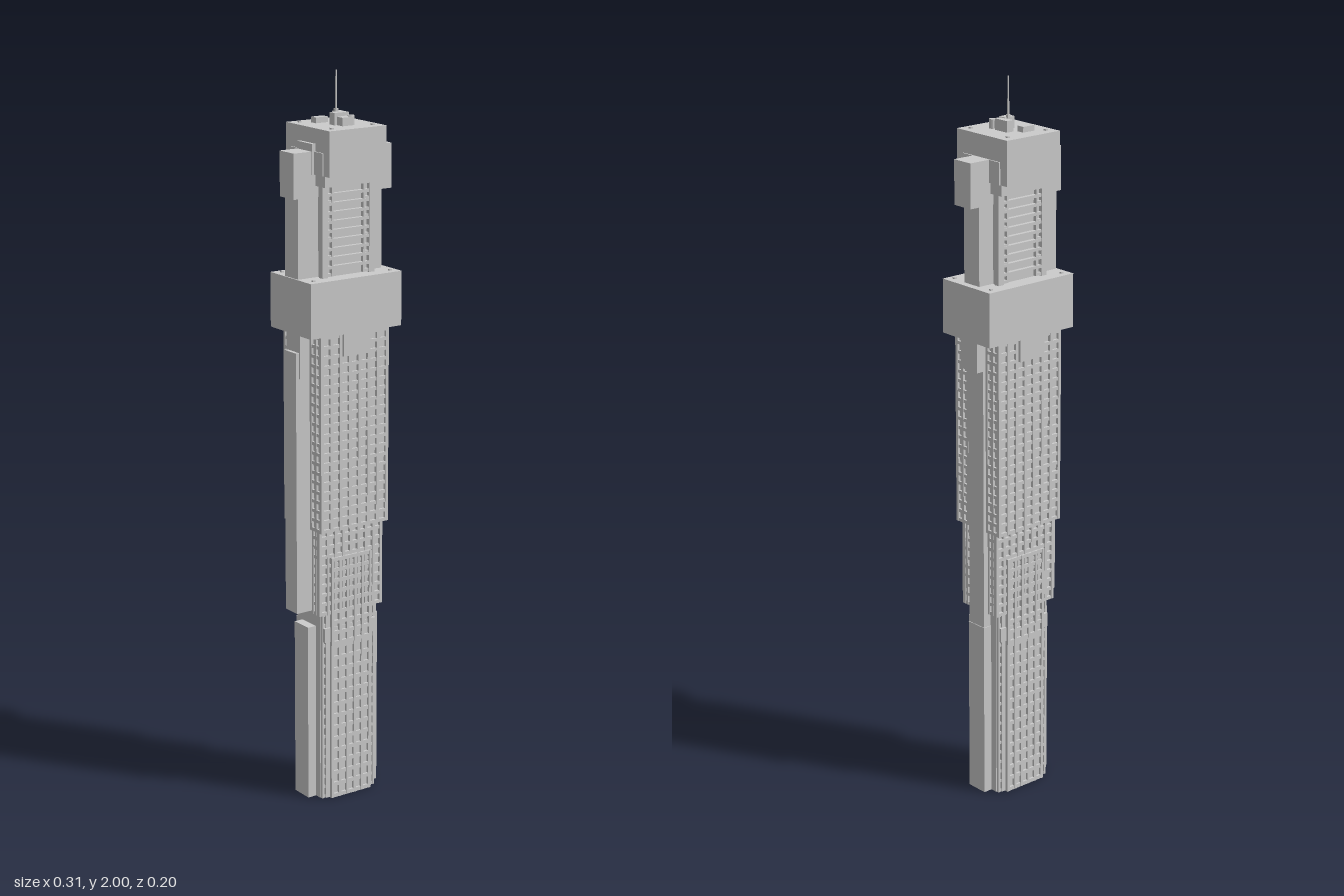
import * as THREE from 'three';
import { mergeGeometries } from 'three/addons/utils/BufferGeometryUtils.js';

const material = new THREE.MeshStandardMaterial({ color: 0xcccccc, flatShading: true });

export function createModel() {
  const tower = new THREE.Group();
  tower.name = 'skyscraper';

  const add = (name, geometry) => {
    const mesh = new THREE.Mesh(geometry, material);
    mesh.name = name;
    tower.add(mesh);
    return mesh;
  };
  // Box given by its limits on each axis
  const boxGeo = (x0, x1, y0, y1, z0, z1) =>
    new THREE.BoxGeometry(x1 - x0, y1 - y0, z1 - z0)
      .translate((x0 + x1) / 2, (y0 + y1) / 2, (z0 + z1) / 2);
  const box = (name, ...limits) => add(name, boxGeo(...limits));
  // Box centred on the tower axis
  const block = (name, hx, y0, y1, hz) => box(name, -hx, hx, y0, y1, -hz, hz);

  // Lattice of posts and floor bands from u0 to u1, standing out to distance d.
  // turn 0 faces +z, 1 faces +x, 2 faces -z, 3 faces -x.
  function lattice(name, turn, u0, u1, y0, y1, d, cols, rows, depth, post, band) {
    const bars = [];
    for (let i = 0; i <= cols; i++) {
      const u = u0 + post / 2 + (u1 - u0 - post) * i / cols;
      bars.push(boxGeo(u - post / 2, u + post / 2, y0, y1, d - depth, d));
    }
    for (let j = 0; j <= rows; j++) {
      const y = y0 + band / 2 + (y1 - y0 - band) * j / rows;
      bars.push(boxGeo(u0, u1, y - band / 2, y + band / 2, d - depth, d - 0.001));
    }
    add(name, mergeGeometries(bars)).rotation.y = turn * Math.PI / 2;
  }
  const frontAndBack = [0, 2], sides = [1, 3];

  // Lower shaft
  block('lowerCore', 0.09, 0, 0.55, 0.052);
  block('lowerShaft', 0.077, 0, 0.55, 0.062);
  block('lowerSpine', 0.116, 0, 0.5, 0.032);
  block('lowerCollar', 0.085, 0.46, 0.5, 0.068);
  block('windowBay', 0.062, 0, 0.7, 0.066);
  for (const t of frontAndBack) {
    lattice('lowerWindows', t, -0.066, 0.066, 0, 0.45, 0.073, 5, 13, 0.009, 0.008, 0.011);
    lattice('upperBayWindows', t, -0.066, 0.066, 0.45, 0.7, 0.075, 5, 8, 0.011, 0.008, 0.01);
    for (const s of [-1, 1]) {
      const a = s * 0.068, b = s * 0.088;
      lattice('cornerWindows', t, Math.min(a, b), Math.max(a, b), 0, 0.54, 0.06, 1, 18, 0.012, 0.006, 0.008);
    }
  }

  // Setback stage with open corner windows
  block('setbackCore', 0.098, 0.54, 0.79, 0.062);
  for (const t of frontAndBack)
    lattice('setbackWindows', t, -0.104, 0.104, 0.54, 0.79, 0.071, 8, 9, 0.012, 0.008, 0.009);
  for (const t of sides) for (const s of [-1, 1])
    lattice('setbackSideWindows', t, Math.min(s * 0.035, s * 0.07), Math.max(s * 0.035, s * 0.07),
      0.54, 0.79, 0.104, 2, 9, 0.008, 0.007, 0.009);

  // Main shaft
  block('mainCore', 0.103, 0.785, 1.33, 0.08);
  for (const t of frontAndBack)
    lattice('mainWindows', t, -0.11, 0.11, 0.78, 1.32, 0.088, 7, 20, 0.009, 0.009, 0.009);
  for (const t of sides) for (const s of [-1, 1])
    lattice('mainSideWindows', t, Math.min(s * 0.035, s * 0.087), Math.max(s * 0.035, s * 0.087),
      0.78, 1.32, 0.11, 2, 20, 0.008, 0.008, 0.009);

  // Side spines: the right-hand one is deeper
  box('leftSpine', 0.08, 0.114, 0.49, 1.33, -0.03, 0.03);
  box('rightSpine', -0.148, -0.08, 0.545, 1.27, -0.027, 0.027);

  // Overhanging middle block with tabs hanging below it
  block('middleBlock', 0.146, 1.32, 1.468, 0.094);
  block('frontAndBackTab', 0.04, 1.26, 1.33, 0.094);
  box('leftTab', 0.09, 0.136, 1.235, 1.33, -0.032, 0.032);
  box('rightTab', -0.138, -0.09, 1.2, 1.33, -0.032, 0.032);

  // Upper shaft with projecting floor slabs between corner piers
  block('upperCore', 0.078, 1.46, 1.75, 0.046);
  for (const sx of [-1, 1]) for (const sz of [-1, 1]) {
    const pier = block('cornerPier', 0.009, 1.46, 1.72, 0.008);
    pier.position.set(sx * 0.075, 0, sz * 0.05);
  }
  for (let i = 0; i < 10; i++) {
    const y = 1.49 + i * 0.024;
    block('floorSlab', 0.068, y, y + 0.008, 0.057);
  }
  for (const t of frontAndBack) for (const s of [-1, 1])
    lattice('upperWindows', t, s * 0.06 - 0.012, s * 0.06 + 0.012, 1.47, 1.72, 0.056, 1, 5, 0.012, 0.005, 0.008);

  // Lift towers on both sides of the upper shaft
  box('leftLiftTower', 0.07, 0.126, 1.46, 1.7, -0.03, 0.03);
  box('rightLiftTower', -0.142, -0.07, 1.46, 1.7, -0.03, 0.03);
  block('liftTowerHead', 0.156, 1.68, 1.8, 0.032);
  box('rightHeadStep', -0.1, -0.085, 1.74, 1.82, -0.035, 0.035);
  block('sideRib', 0.094, 1.74, 1.8, 0.072);

  // Crown
  block('crownStep', 0.088, 1.71, 1.745, 0.075);
  block('crownBlock', 0.09, 1.74, 1.86, 0.099);

  // Roof hatches
  const hatch = (x, y, z) => block('roofHatch', 0.004, 0, 0.004, 0.004).position.set(x, y, z);
  for (const sx of [-1, 1]) for (const sz of [-1, 1]) {
    hatch(sx * 0.065, 1.86, sz * 0.073);
    hatch(sx * 0.123, 1.468, sz * 0.073);
  }

  // Rooftop plant and antenna
  box('plantRoom', -0.041, -0.003, 1.855, 1.875, -0.055, -0.033);
  box('plantRoom', 0.007, 0.029, 1.855, 1.89, -0.028, 0.018);
  box('plantRoom', -0.022, 0.01, 1.855, 1.892, 0.001, 0.024);
  box('plantRoom', -0.014, 0.021, 1.855, 1.882, 0.02, 0.049);
  add('roofTank', new THREE.CylinderGeometry(0.009, 0.009, 0.03, 12).translate(0.021, 1.87, 0.038));
  block('antennaBase', 0.0045, 1.855, 1.9, 0.0045);
  add('antenna', new THREE.CylinderGeometry(0.002, 0.003, 0.11, 8).translate(0, 1.945, 0));

  return tower;
}
